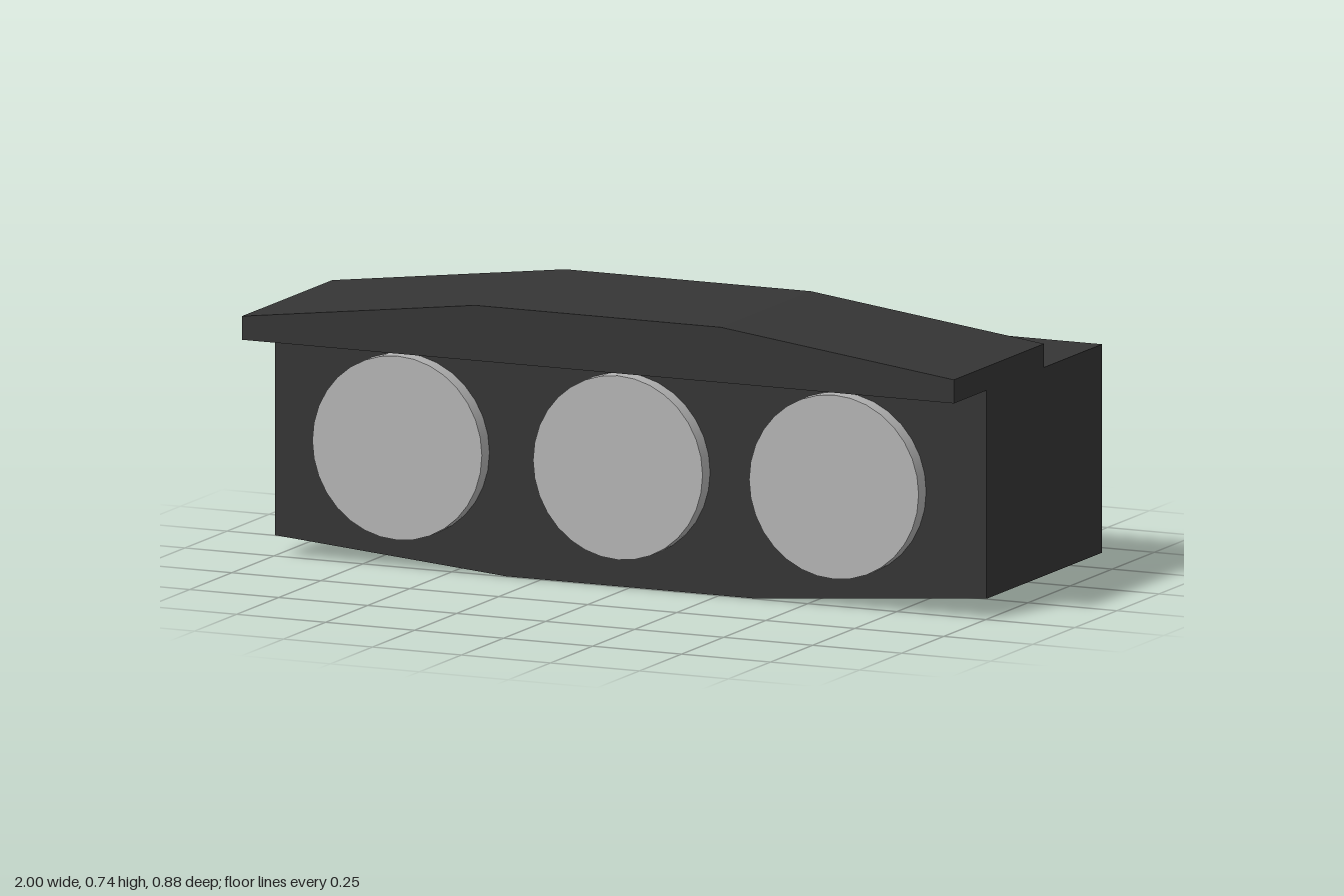
import * as THREE from 'three';

export function createModel() {
  const model = new THREE.Group();
  model.name = 'tripleLampHousing';

  const housingMat = new THREE.MeshStandardMaterial({ color: 0x353535 });
  housingMat.name = 'charcoal';
  const lampMat = new THREE.MeshStandardMaterial({ color: 0xb3b3b3 });
  lampMat.name = 'light grey';

  // Extrudes a front outline between two depths
  function slab(name, outline, zBack, zFront) {
    const shape = new THREE.Shape(outline.map(([x, y]) => new THREE.Vector2(x, y)));
    const geo = new THREE.ExtrudeGeometry(shape, { depth: zFront - zBack, bevelEnabled: false });
    geo.translate(0, 0, zBack);
    const mesh = new THREE.Mesh(geo, housingMat);
    mesh.name = name;
    model.add(mesh);
  }

  const seam = 0.592;

  // Main case with a faceted, bowed underside
  slab('case', [[-1, 0.053], [-0.35, 0], [0.35, 0], [1, 0.053], [1, seam], [-1, seam]], -0.44, 0.245);

  // Overhanging hood with a faceted, bowed top
  slab('hood', [[-1, seam], [1, seam], [1, 0.653], [0.345, 0.735], [-0.345, 0.735], [-1, 0.653]], -0.096, 0.44);

  // Three round lamps on the front
  const lampGeo = new THREE.CylinderGeometry(0.238, 0.238, 0.045, 32);
  lampGeo.rotateX(Math.PI / 2);
  [['rightLamp', -0.635], ['middleLamp', -0.015], ['leftLamp', 0.592]].forEach(([name, x]) => {
    const lamp = new THREE.Mesh(lampGeo, lampMat);
    lamp.name = name;
    lamp.position.set(x, 0.316, 0.2675);
    model.add(lamp);
  });

  return model;
}
